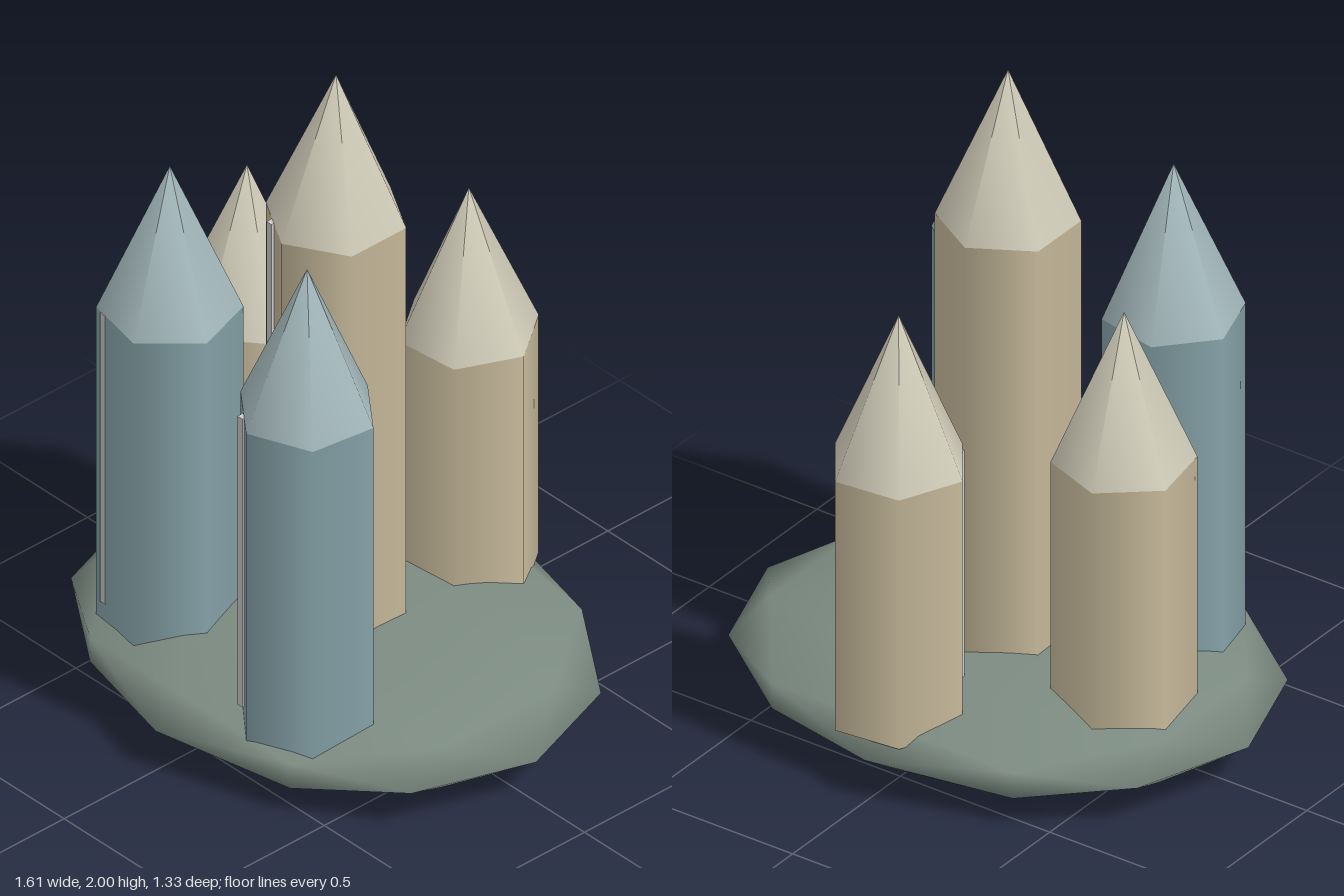
import * as THREE from 'three';

const mat = (color) => new THREE.MeshStandardMaterial({ color });
const STONE = { wall: mat(0xc8bb9c), roof: mat(0xcfcbb8) };
const BLUE = { wall: mat(0x86a3a9), roof: mat(0xa3b7bb) };
const MOUND = mat(0x7c8b82);
const TRIM = mat(0xcccccc);

const RADIUS = 0.2, ROOF = 0.468, FOOT = 0.17, TRIM_FOOT = 0.24;

function add(parent, name, geometry, material, x, y, z) {
  const mesh = new THREE.Mesh(geometry, material);
  mesh.name = name;
  mesh.position.set(x, y, z);
  parent.add(mesh);
  return mesh;
}

// Six-sided tower with a pointed roof and a slim upright strip at its front left
function tower(name, x, z, top, degrees, { wall, roof }) {
  const group = new THREE.Group();
  group.name = name;
  group.position.set(x, 0, z);
  const turn = THREE.MathUtils.degToRad(degrees);

  const h = top - FOOT;
  add(group, 'wall', new THREE.CylinderGeometry(RADIUS, RADIUS, h, 6), wall, 0, FOOT + h / 2, 0)
    .rotation.y = turn;
  add(group, 'roof', new THREE.ConeGeometry(RADIUS, ROOF, 6), roof, 0, top + ROOF / 2, 0)
    .rotation.y = turn;

  const s = top - TRIM_FOOT;
  add(group, 'strip', new THREE.BoxGeometry(0.02, s, 0.02), TRIM, -0.095, TRIM_FOOT + s / 2, 0.15);
  return group;
}

export function createModel() {
  const model = new THREE.Group();
  model.name = 'towersOnMound';

  // Flattened faceted mound
  const mound = new THREE.IcosahedronGeometry(1, 1).scale(0.805, 0.131, 0.664);
  add(model, 'mound', mound, MOUND, 0, 0.132, 0);

  // name, x, z, wall top, turn, colours
  const towers = [
    ['centreTower', 0, 0, 1.532, 0, STONE],
    ['rightFrontTower', -0.333, 0.307, 1.2, 18, BLUE],
    ['leftFrontTower', 0.275, 0.358, 1.2, 52, BLUE],
    ['rightBackTower', -0.446, -0.08, 0.96, 10, STONE],
    ['backTower', 0.04, -0.452, 0.96, 36, STONE],
  ];
  for (const t of towers) model.add(tower(...t));
  return model;
}
